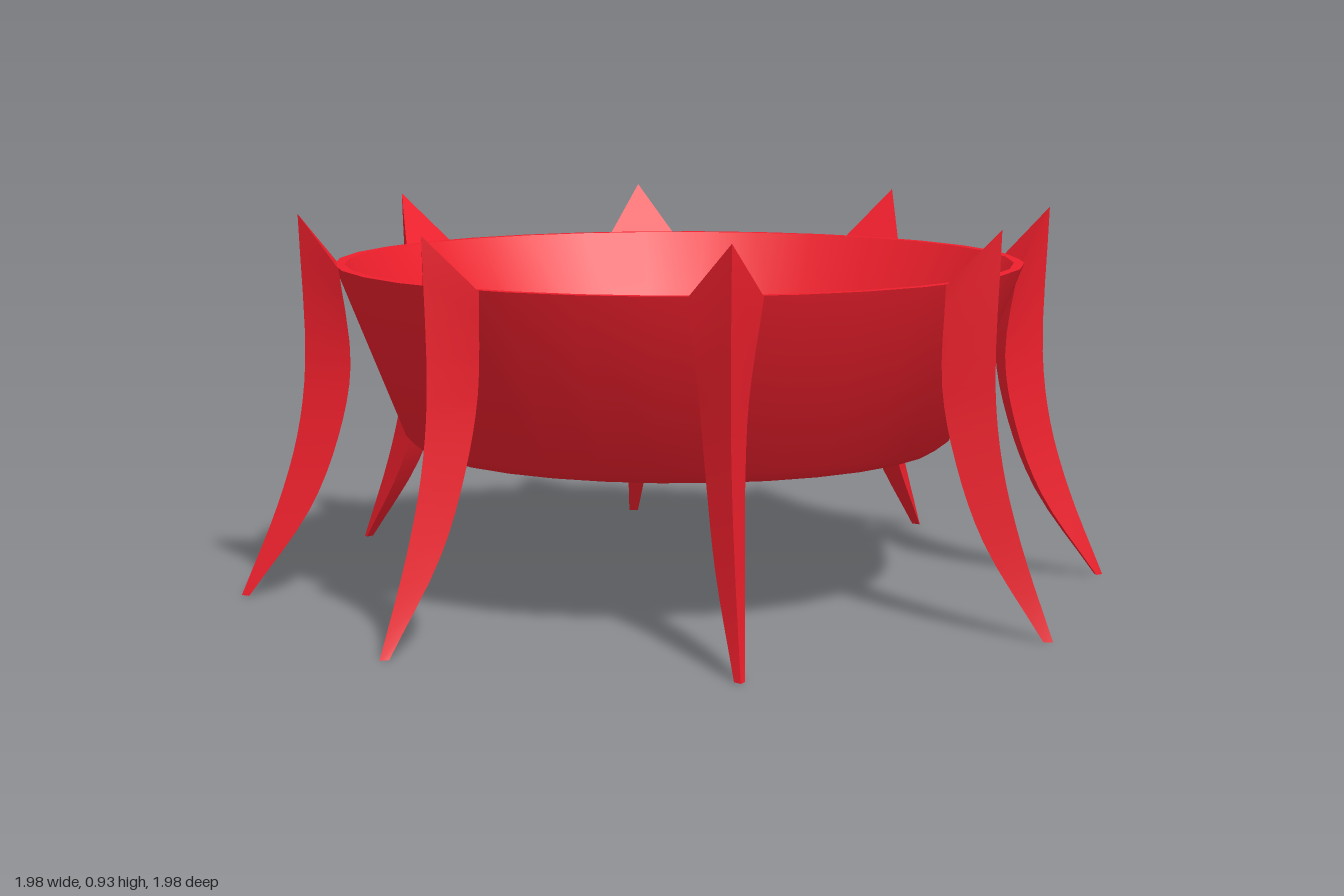
import * as THREE from 'three';
import { mergeGeometries, toCreasedNormals } from 'three/addons/utils/BufferGeometryUtils.js';

const LEGS = 8;
const STEPS = 16;

// Smooth strip between two edges listed from top to bottom, seen from outside.
function strip(left, right) {
  const pos = [], index = [];
  left.forEach((p, i) => {
    pos.push(...p.toArray(), ...right[i].toArray());
    if (i + 1 < left.length) {
      const a = i * 2;
      index.push(a, a + 2, a + 1, a + 1, a + 2, a + 3);
    }
  });
  const g = new THREE.BufferGeometry();
  g.setAttribute('position', new THREE.Float32BufferAttribute(pos, 3));
  g.setIndex(index);
  g.computeVertexNormals();
  return g.toNonIndexed();
}

function triangle(a, b, c) {
  const g = new THREE.BufferGeometry().setFromPoints([a, b, c]);
  g.computeVertexNormals();
  return g;
}

// Triangular claw pointing along +x: a sharp outer ridge and a two-edged inner face.
function clawGeometry() {
  const spline = (pts) => new THREE.CatmullRomCurve3(pts.map((p) => new THREE.Vector3(...p))).getPoints(STEPS);
  const ridge = spline([[0.92, 0.925, 0], [0.908, 0.565, 0], [0.93, 0.39, 0], [0.98, 0.22, 0], [1.07, 0, 0]]);
  const baseL = spline([[0.826, 0.8, 0.084], [0.80, 0.565, 0.055], [0.832, 0.39, 0.043], [0.902, 0.215, 0.033], [1.052, 0, 0.012]]);
  const baseR = baseL.map((p) => new THREE.Vector3(p.x, p.y, -p.z));
  return mergeGeometries([
    strip(baseL, ridge),
    strip(ridge, baseR),
    strip(baseR, baseL),
    triangle(ridge[0], baseR[0], baseL[0]),
    triangle(ridge[STEPS], baseL[STEPS], baseR[STEPS]),
  ]);
}

export function createModel() {
  const group = new THREE.Group();
  group.name = 'clawFootBowl';
  const red = new THREE.MeshStandardMaterial({ color: 0xee1f2c });

  // Bowl: thick floor, sloping wall and flat rim
  const profile = [
    [0, 0.36], [0.635, 0.36], [0.668, 0.385], [0.835, 0.803],
    [0.81, 0.803], [0.595, 0.46], [0, 0.46],
  ].map(([x, y]) => new THREE.Vector2(x, y));
  const bowl = new THREE.Mesh(toCreasedNormals(new THREE.LatheGeometry(profile, 32), 0.6), red);
  bowl.name = 'bowl';
  group.add(bowl);

  // Claw legs around the rim
  const claw = clawGeometry();
  for (let i = 0; i < LEGS; i++) {
    const leg = new THREE.Mesh(claw, red);
    leg.name = 'clawLeg' + (i + 1);
    leg.rotation.y = ((i + 0.5) / LEGS) * Math.PI * 2;
    group.add(leg);
  }
  return group;
}
